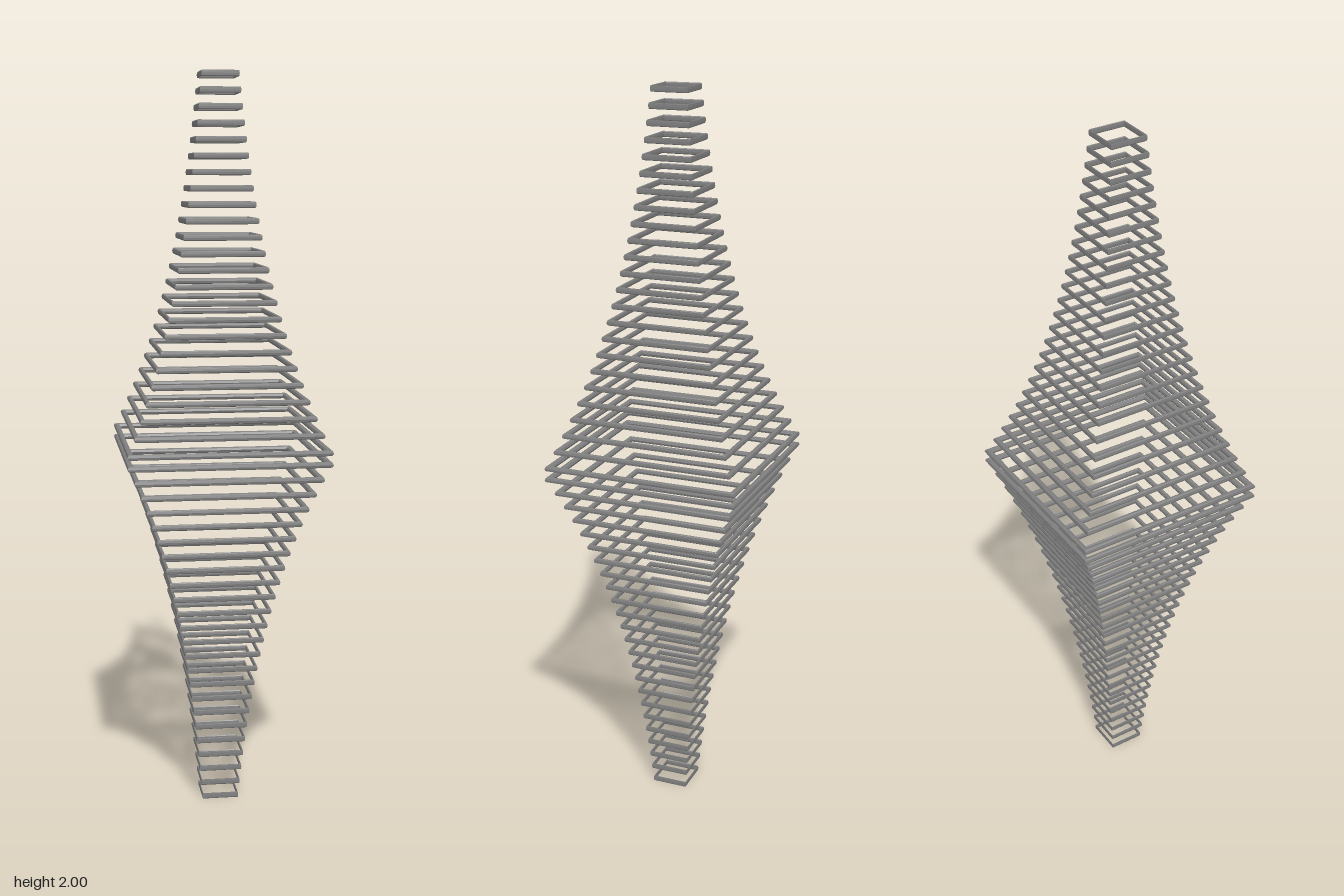
import * as THREE from 'three';
import { toCreasedNormals } from 'three/addons/utils/BufferGeometryUtils.js';

const RINGS = 24;          // rings in each half
const SHRINK = 0.93;       // width ratio between neighbouring rings
const HALF_WIDTH = 0.268;  // outer half width of the widest ring
const BAR = 0.0085;        // half width of its bars
const BAR_HEIGHT = 0.008;  // half height of every bar

// Square ring with rounded bars and mitred corners: a four-segment torus
function squareRing() {
  const tube = BAR * Math.SQRT2;
  const geometry = new THREE.TorusGeometry(HALF_WIDTH * Math.SQRT2 - tube, tube, 8, 4);
  geometry.rotateZ(Math.PI / 4);
  geometry.rotateX(-Math.PI / 2);
  geometry.scale(1, BAR_HEIGHT / tube, 1);
  return toCreasedNormals(geometry, 1);
}

export function createModel() {
  const model = new THREE.Group();
  model.name = 'squareRingSpindle';
  const material = new THREE.MeshStandardMaterial({ color: 0x808080 });
  const geometry = squareRing();

  // Each half tapers from the wide middle to its narrow tip
  const halves = [
    { name: 'upper', start: 1.019, end: 2 - BAR_HEIGHT },
    { name: 'lower', start: 0.988, end: BAR_HEIGHT },
  ];
  for (const { name, start, end } of halves) {
    const half = new THREE.Group();
    half.name = name + 'Half';
    for (let i = 0; i < RINGS; i++) {
      const ring = new THREE.Mesh(geometry, material);
      const width = SHRINK ** i;
      ring.name = name + 'Ring' + (i + 1);
      ring.position.y = THREE.MathUtils.lerp(start, end, i / (RINGS - 1));
      ring.scale.set(width, 1, width);
      half.add(ring);
    }
    model.add(half);
  }
  return model;
}
